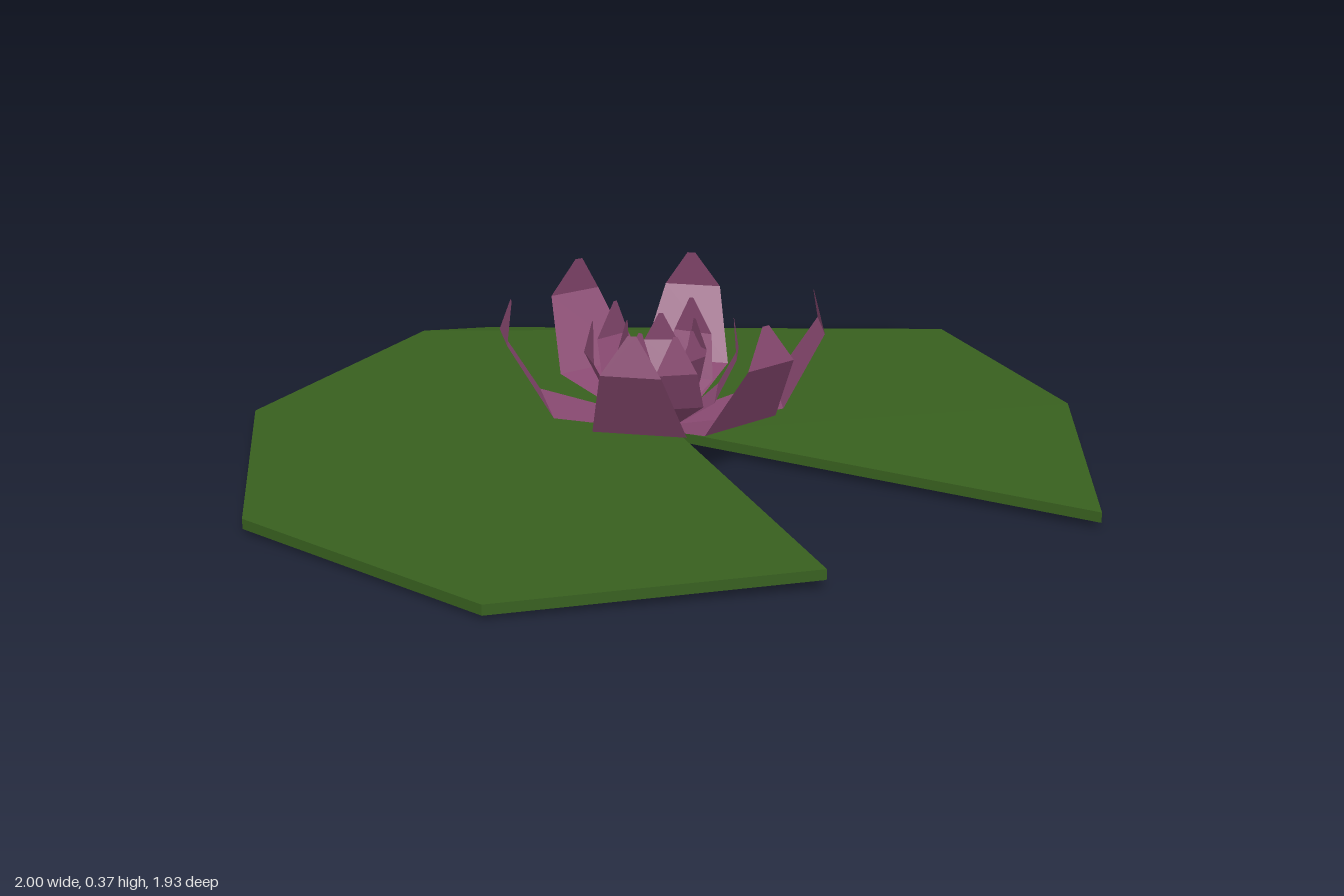
import * as THREE from 'three';

const DEG = Math.PI / 180;

// One petal: rows of [radius, height, half width], swept outward then up to a tip
function petalGeometry(rows, angle) {
  const geo = new THREE.PlaneGeometry(2, 1, 1, rows.length - 1);
  const pos = geo.attributes.position;
  const c = Math.cos(angle), s = Math.sin(angle);
  for (let i = 0; i < pos.count; i++) {
    const [r, y, w] = rows[Math.floor(i / 2)];
    const side = pos.getX(i) * w;
    pos.setXYZ(i, r * c - side * s, y, r * s + side * c);
  }
  const flat = geo.toNonIndexed();
  flat.computeVertexNormals();
  return flat;
}

// Closed plate with a wedge cut out; the last corner is the inner point of the notch
function padGeometry(top, bottom) {
  const points = [];
  const tri = (a, b, c) => points.push(...a, ...b, ...c);
  const n = top.length;
  for (let i = 0; i < n - 2; i++) {
    tri(top[n - 1], top[i], top[i + 1]);
    tri(bottom[n - 1], bottom[i + 1], bottom[i]);
  }
  for (let i = 0; i < n; i++) {
    const j = (i + 1) % n;
    tri(bottom[i], bottom[j], top[i]);
    tri(top[i], bottom[j], top[j]);
  }
  const geo = new THREE.BufferGeometry();
  geo.setAttribute('position', new THREE.Float32BufferAttribute(points, 3));
  geo.computeVertexNormals();
  return geo;
}

export function createModel() {
  const model = new THREE.Group();
  model.name = 'waterLily';
  const leafGreen = new THREE.MeshStandardMaterial({ color: 0x38601f });
  leafGreen.name = 'leafGreen';
  const petalPink = new THREE.MeshStandardMaterial({ color: 0x8a4a72, side: THREE.DoubleSide });
  petalPink.name = 'petalPink';

  // Floating leaf
  const top = [
    [0.95, 0.04, 0.5], [1, 0.047, -0.2], [0.77, 0.035, -0.86],
    [-0.65, 0.035, -0.85], [-1, 0.035, -0.19], [-0.91, 0.033, 0.51],
    [-0.36, 0.033, 0.96], [0.33, 0.047, 0.82], [0.034, 0.037, -0.027],
  ];
  const bottom = top.map(([x, y, z]) => [x, y - 0.024, z]);
  bottom[2] = [0.63, 0, -0.96]; // back edge slopes outward underneath
  bottom[3] = [-0.48, 0.008, -0.97];
  const pad = new THREE.Mesh(padGeometry(top, bottom), leafGreen);
  pad.name = 'lilyPad';
  model.add(pad);

  // Blossom made of three whorls of petals
  const flower = new THREE.Group();
  flower.name = 'flower';
  flower.position.set(0, 0, -0.08);
  const whorls = [
    {
      name: 'outerPetal', angles: [-78, -3, 50, 101, 169, 235],
      rows: [[0.04, 0.045, 0.05], [0.28, 0.11, 0.11], [0.38, 0.28, 0.07], [0.36, 0.37, 0.01]],
    },
    {
      name: 'middlePetal', angles: [5, 80, 165, 228, 295],
      rows: [[0.035, 0.045, 0.025], [0.13, 0.12, 0.075], [0.18, 0.22, 0.05], [0.17, 0.31, 0.005]],
    },
    {
      name: 'innerPetal', angles: [40, 125, 200, 268, 330],
      rows: [[0.035, 0.045, 0.02], [0.07, 0.14, 0.055], [0.1, 0.22, 0.04], [0.09, 0.29, 0.005]],
    },
  ];
  for (const { name, angles, rows } of whorls) {
    angles.forEach((a, i) => {
      const petal = new THREE.Mesh(petalGeometry(rows, a * DEG), petalPink);
      petal.name = name + (i + 1);
      flower.add(petal);
    });
  }
  model.add(flower);
  return model;
}
